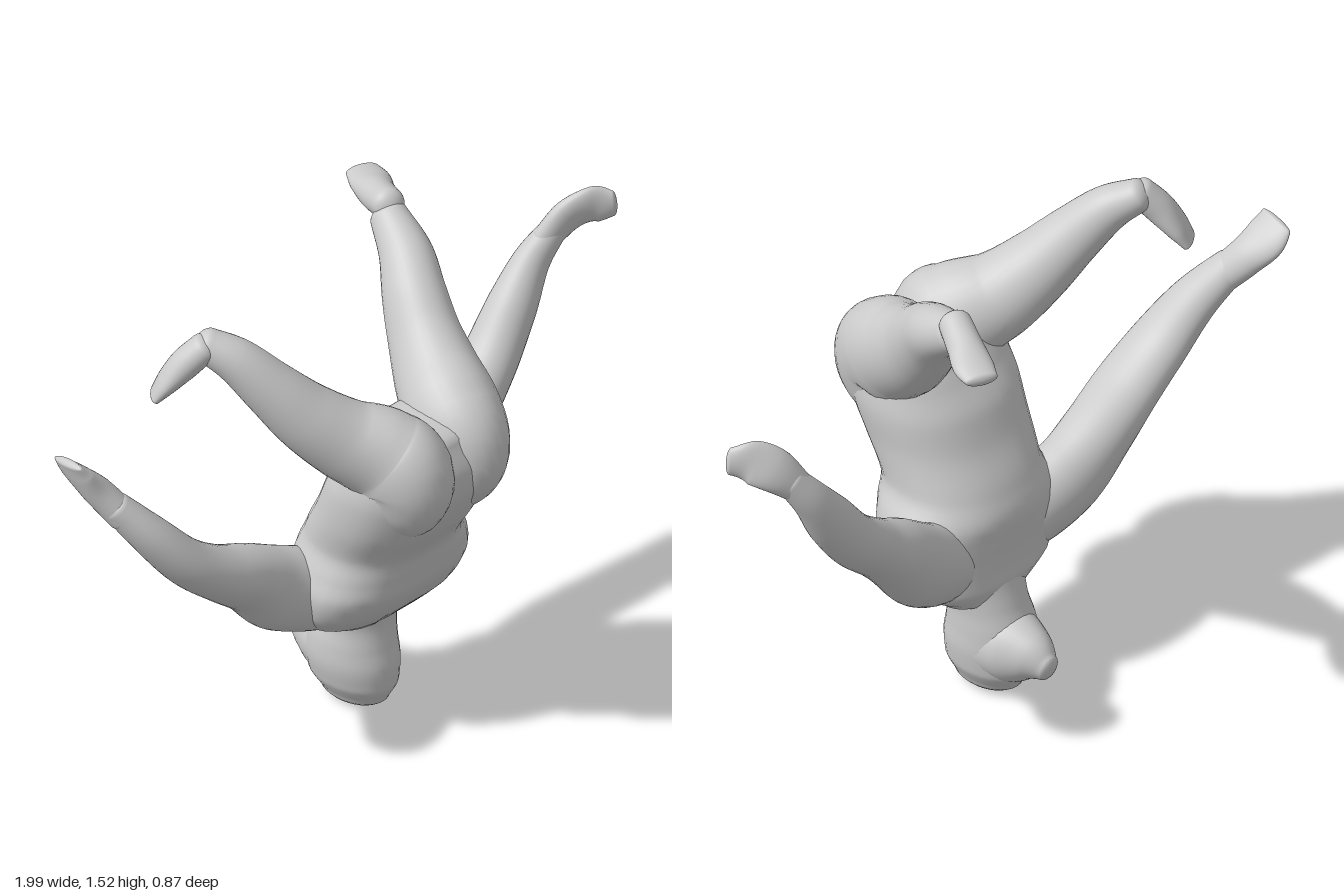
import * as THREE from 'three';

const material = new THREE.MeshStandardMaterial({ color: 0xcccccc, roughness: 0.8 });
const SIDES = 32, STEPS = 6, CAP = 6;
const X = new THREE.Vector3(1, 0, 0), Y = new THREE.Vector3(0, 1, 0), Z = new THREE.Vector3(0, 0, 1);

// Smooth skin over elliptical sections [x, y, z, a, b]; a lies along ref, b across it.
// fixedAxis keeps all rings parallel, groove presses a furrow along the back,
// power below 1 squares the rings, and the ends are domed.
function loft(name, sections, { ref = X, fixedAxis = null, dome = 0.7, groove = 0, power = 1 } = {}) {
  const path = new THREE.CatmullRomCurve3(sections.map(s => new THREE.Vector3(s[0], s[1], s[2])));
  const size = new THREE.CatmullRomCurve3(sections.map(s => new THREE.Vector3(s[3], s[4], 0)));
  const rings = [];
  const addRing = (t, scale = 1, shift = 0) => {
    const axis = fixedAxis ? fixedAxis.clone() : path.getTangent(t);
    const r = size.getPoint(t);
    const u = ref.clone().addScaledVector(axis, -ref.dot(axis)).normalize();
    const v = axis.clone().cross(u);
    const c = path.getPoint(t).addScaledVector(axis, shift * dome * Math.min(r.x, r.y));
    rings.push({ c, u, v, a: r.x * scale, b: r.y * scale });
  };
  const n = (sections.length - 1) * STEPS;
  for (let k = 0; k < CAP; k++) {
    const q = (k / CAP) * Math.PI / 2;
    addRing(0, Math.sin(q), -Math.cos(q));
  }
  for (let i = 0; i <= n; i++) addRing(i / n);
  for (let k = CAP - 1; k >= 0; k--) {
    const q = (k / CAP) * Math.PI / 2;
    addRing(1, Math.sin(q), Math.cos(q));
  }
  const bend = w => Math.sign(w) * Math.abs(w) ** power;
  const pos = [], index = [];
  rings.forEach(({ c, u, v, a, b }, i) => {
    for (let j = 0; j < SIDES; j++) {
      const q = (j / SIDES) * Math.PI * 2;
      const press = 1 - groove * Math.exp(-(((q - Math.PI * 1.5) / 0.25) ** 2));
      const p = c.clone()
        .addScaledVector(u, a * press * bend(Math.cos(q)))
        .addScaledVector(v, b * press * bend(Math.sin(q)));
      pos.push(p.x, p.y, p.z);
      if (i === rings.length - 1) continue;
      const p0 = i * SIDES + j, p1 = i * SIDES + (j + 1) % SIDES;
      index.push(p0, p1, p0 + SIDES, p1, p1 + SIDES, p0 + SIDES);
    }
  });
  const geo = new THREE.BufferGeometry();
  geo.setAttribute('position', new THREE.Float32BufferAttribute(pos, 3));
  geo.setIndex(index);
  geo.computeVertexNormals();
  const mesh = new THREE.Mesh(geo, material);
  mesh.name = name;
  return mesh;
}

export function createModel() {
  const figure = new THREE.Group();
  figure.name = 'divingFigure';

  // Trunk, shoulders at the bottom and hips at the top
  figure.add(loft('torso', [
    [0, 0.335, -0.03, 0.16, 0.1],
    [-0.005, 0.39, -0.005, 0.25, 0.14],
    [-0.015, 0.46, 0.03, 0.285, 0.172],
    [-0.02, 0.54, 0.052, 0.29, 0.197],
    [-0.02, 0.61, 0.06, 0.268, 0.206],
    [-0.03, 0.69, 0.085, 0.235, 0.2],
    [-0.04, 0.8, 0.148, 0.242, 0.204],
    [-0.04, 0.9, 0.192, 0.25, 0.206],
    [-0.04, 1.0, 0.23, 0.24, 0.178],
    [-0.035, 1.08, 0.235, 0.18, 0.135],
  ], { fixedAxis: Y, dome: 0.35, groove: 0.04, power: 0.9 }));

  // Head, crown down, face turned to the rear
  figure.add(loft('headAndNeck', [
    [0, 0.04, -0.06, 0.082, 0.116],
    [-0.002, 0.09, -0.064, 0.109, 0.146],
    [-0.005, 0.16, -0.065, 0.121, 0.15],
    [-0.005, 0.23, -0.065, 0.119, 0.137],
    [0, 0.3, -0.055, 0.113, 0.118],
    [0, 0.37, -0.04, 0.12, 0.11],
    [0, 0.46, -0.02, 0.14, 0.11],
  ], { fixedAxis: Y, dome: 0.45 }));
  figure.add(loft('face', [
    [0, 0.16, -0.08, 0.115, 0.12],
    [0, 0.17, -0.17, 0.1, 0.112],
    [0, 0.17, -0.24, 0.07, 0.08],
    [0, 0.158, -0.29, 0.038, 0.045],
  ], { dome: 0.55 }));

  // Arms: shoulder, elbow, wrist
  figure.add(loft('leftArm', [
    [0.06, 0.47, 0.01, 0.09, 0.09],
    [0.16, 0.48, -0.02, 0.11, 0.125],
    [0.27, 0.54, -0.055, 0.105, 0.125],
    [0.4, 0.66, -0.08, 0.098, 0.105],
    [0.5, 0.742, -0.095, 0.09, 0.086],
    [0.61, 0.838, -0.115, 0.085, 0.08],
    [0.71, 0.965, -0.125, 0.072, 0.075],
    [0.79, 1.08, -0.125, 0.052, 0.057],
    [0.85, 1.165, -0.1, 0.038, 0.045],
  ], { ref: Z }));
  figure.add(loft('leftHand', [
    [0.83, 1.14, -0.11, 0.036, 0.048],
    [0.89, 1.21, -0.075, 0.034, 0.065],
    [0.935, 1.24, -0.035, 0.028, 0.067],
    [0.98, 1.245, 0.01, 0.018, 0.045],
  ], { ref: Z }));
  figure.add(loft('rightArm', [
    [-0.07, 0.47, 0.01, 0.09, 0.09],
    [-0.19, 0.485, -0.02, 0.11, 0.125],
    [-0.33, 0.54, -0.045, 0.105, 0.125],
    [-0.45, 0.63, -0.05, 0.105, 0.1],
    [-0.58, 0.715, -0.04, 0.105, 0.08],
    [-0.7, 0.81, -0.05, 0.095, 0.07],
    [-0.8, 0.93, -0.09, 0.075, 0.06],
    [-0.88, 1.04, -0.155, 0.055, 0.045],
  ], { ref: Z }));
  figure.add(loft('rightHand', [
    [-0.865, 1.01, -0.14, 0.054, 0.046],
    [-0.91, 1.09, -0.2, 0.06, 0.042],
    [-0.95, 1.15, -0.235, 0.07, 0.028],
    [-0.98, 1.195, -0.245, 0.06, 0.014],
  ], { ref: Z }));

  // Legs: buttock, hip, knee, ankle, lifted back over the trunk
  figure.add(loft('leftLeg', [
    [0.06, 0.85, 0.22, 0.09, 0.125],
    [0.072, 0.93, 0.245, 0.12, 0.165],
    [0.08, 1.01, 0.262, 0.135, 0.172],
    [0.098, 1.07, 0.222, 0.138, 0.16],
    [0.135, 1.14, 0.13, 0.12, 0.138],
    [0.17, 1.22, 0.045, 0.1, 0.116],
    [0.205, 1.3, -0.025, 0.09, 0.1],
    [0.25, 1.375, -0.1, 0.078, 0.082],
    [0.285, 1.44, -0.2, 0.056, 0.06],
  ]));
  figure.add(loft('leftFoot', [
    [0.29, 1.48, -0.21, 0.048, 0.048],
    [0.33, 1.455, -0.29, 0.053, 0.05],
    [0.37, 1.447, -0.36, 0.06, 0.034],
    [0.395, 1.445, -0.415, 0.05, 0.02],
  ]));
  figure.add(loft('rightLeg', [
    [-0.13, 0.85, 0.22, 0.09, 0.125],
    [-0.145, 0.93, 0.245, 0.12, 0.165],
    [-0.15, 1.01, 0.262, 0.135, 0.172],
    [-0.178, 1.055, 0.225, 0.13, 0.155],
    [-0.26, 1.115, 0.15, 0.115, 0.128],
    [-0.345, 1.2, 0.085, 0.1, 0.108],
    [-0.42, 1.3, 0.02, 0.082, 0.088],
    [-0.49, 1.4, -0.055, 0.066, 0.068],
    [-0.545, 1.45, -0.12, 0.052, 0.05],
  ]));
  figure.add(loft('rightFoot', [
    [-0.56, 1.45, -0.115, 0.047, 0.044],
    [-0.595, 1.4, -0.15, 0.05, 0.045],
    [-0.63, 1.335, -0.19, 0.056, 0.033],
    [-0.65, 1.29, -0.215, 0.05, 0.02],
  ], { ref: new THREE.Vector3(0.77, 0, -0.63) }));

  return figure;
}
